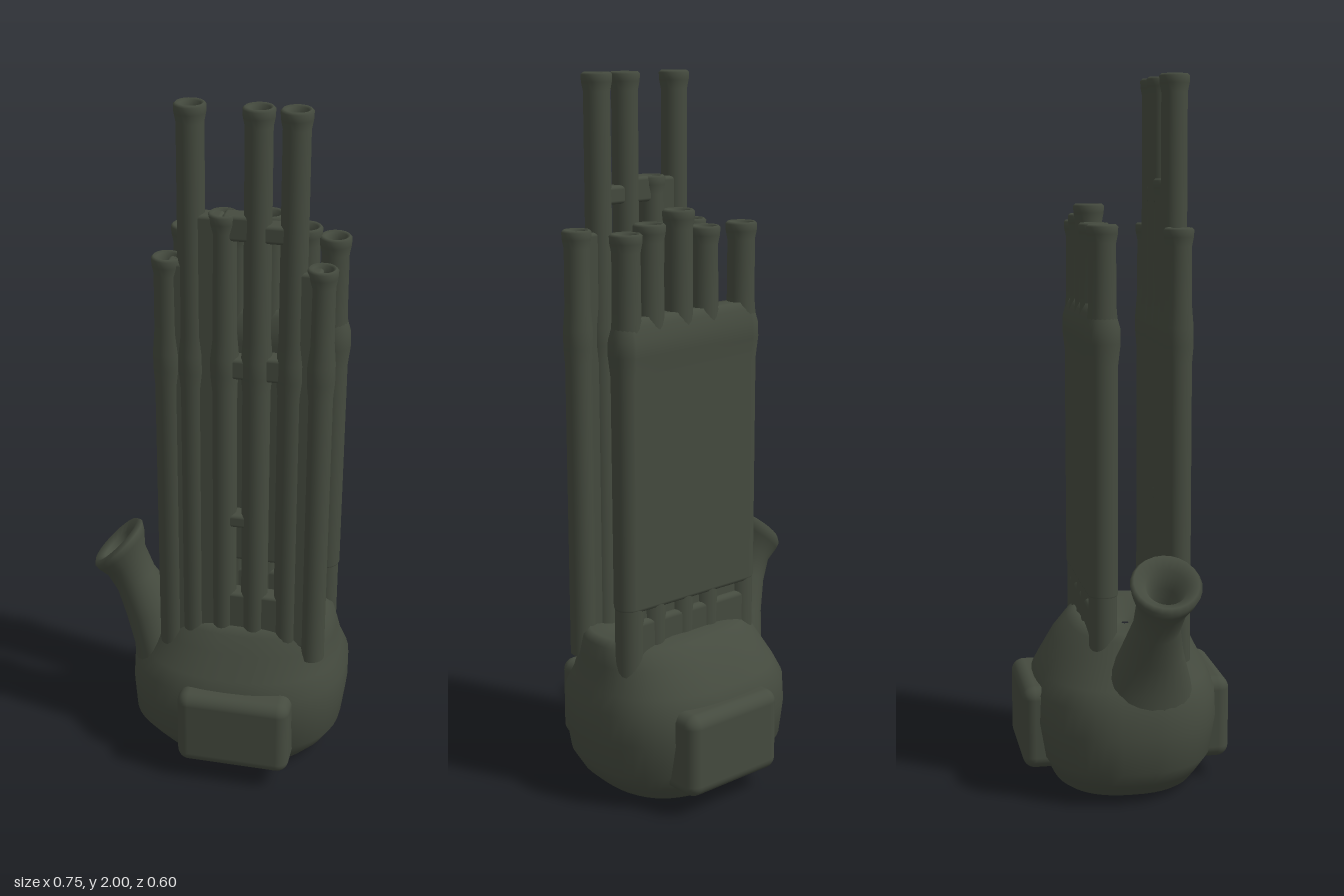
import * as THREE from 'three';
import { RoundedBoxGeometry } from 'three/addons/geometries/RoundedBoxGeometry.js';

// Closed skin over rings of points, rings listed from bottom to top
function loft(rings) {
  const n = rings[0].length, pos = rings.flat(2), index = [];
  for (let i = 0; i < rings.length - 1; i++) {
    for (let j = 0; j < n; j++) {
      const a = i * n + j, b = i * n + (j + 1) % n;
      index.push(a, a + n, b, b, a + n, b + n);
    }
  }
  const g = new THREE.BufferGeometry();
  g.setAttribute('position', new THREE.Float32BufferAttribute(pos, 3));
  g.setIndex(index);
  g.computeVertexNormals();
  return g;
}

const ring = (n, fn) => Array.from({ length: n }, (_, j) => fn(j / n * Math.PI * 2));
const rounded = (v, e) => Math.sign(v) * Math.abs(v) ** e;

export function createModel() {
  const group = new THREE.Group();
  const darkOlive = new THREE.MeshStandardMaterial({ color: 0x454b3f });
  darkOlive.name = 'darkOlive';

  const add = (name, geometry, x = 0, y = 0, z = 0) => {
    const mesh = new THREE.Mesh(geometry, darkOlive);
    mesh.name = name;
    mesh.position.set(x, y, z);
    group.add(mesh);
  };

  // Wind chamber: y, left x, right x, half depth, z shift
  const chamber = [
    [0, 0.04, 0.06, 0.01, 0], [0, -0.16, 0.27, 0.185, 0], [0.012, -0.18, 0.29, 0.2, 0],
    [0.05, -0.225, 0.33, 0.22, 0], [0.1, -0.265, 0.36, 0.25, 0], [0.2, -0.27, 0.373, 0.268, 0],
    [0.28, -0.265, 0.373, 0.265, 0], [0.33, -0.24, 0.352, 0.24, 0], [0.4, -0.2, 0.338, 0.2, 0.005],
    [0.45, -0.18, 0.33, 0.165, 0.015], [0.47, -0.16, 0.31, 0.14, 0.02],
    [0.455, -0.08, 0.24, 0.08, 0.02], [0.435, 0.07, 0.09, 0.01, 0.02],
  ];
  add('windChamber', loft(chamber.map(([y, x0, x1, hz, z]) => ring(48, t => [
    (x0 + x1) / 2 + (x1 - x0) / 2 * rounded(Math.cos(t), 0.82), y, z + hz * rounded(Math.sin(t), 0.82),
  ]))));

  // Raised panels on the front and back of the chamber
  add('chamberPanels', new RoundedBoxGeometry(0.33, 0.24, 0.6, 4, 0.035), 0.083, 0.18, 0);

  // Flared mouthpiece: centre x, y, z, half-width vector x, y, half depth
  const mouth = [
    [-0.16, 0.22, 0.03, 0.1, 0.0, 0.15], [-0.18, 0.33, 0.035, 0.085, 0.01, 0.125],
    [-0.215, 0.43, 0.04, 0.075, 0.025, 0.09], [-0.26, 0.52, 0.045, 0.055, 0.035, 0.065],
    [-0.285, 0.585, 0.055, 0.055, 0.045, 0.07], [-0.298, 0.625, 0.06, 0.067, 0.058, 0.092],
    [-0.305, 0.645, 0.062, 0.068, 0.064, 0.099], [-0.311, 0.656, 0.062, 0.06, 0.058, 0.09],
    [-0.306, 0.64, 0.062, 0.04, 0.038, 0.058], [-0.292, 0.6, 0.058, 0.028, 0.025, 0.038],
    [-0.265, 0.55, 0.05, 0.018, 0.014, 0.025], [-0.262, 0.545, 0.05, 0.001, 0.001, 0.001],
  ];
  add('mouthpiece', loft(mouth.map(([x, y, z, ux, uy, hz]) => ring(24, t => [
    x + ux * Math.cos(t), y + uy * Math.cos(t), z + hz * Math.sin(t),
  ]))));

  // Hollow pipe with a slight node and a flared lip
  const pipe = (name, x, z, top, r) => {
    const points = [
      [r, 0.38], [r, 1.22], [r + 0.004, 1.27], [r + 0.004, 1.32], [r - 0.001, 1.38],
      [r - 0.002, top - 0.05], [r + 0.003, top - 0.025], [r + 0.004, top - 0.006],
      [r - 0.002, top], [r - 0.01, top - 0.004], [0.021, top - 0.025], [0.019, top - 0.08], [0, top - 0.08],
    ].map(p => new THREE.Vector2(...p));
    add(name, new THREE.LatheGeometry(points, 20), x, 0, z);
  };
  const frontPipes = [[-0.125, 1.59, 0.038], [-0.06, 2, 0.038], [0.025, 1.72, 0.037],
    [0.115, 2, 0.038], [0.21, 2, 0.038], [0.285, 1.59, 0.037]];
  frontPipes.forEach(([x, top, r]) => pipe('frontPipe', x, 0.13, top, r));
  const backPipes = [[-0.122, 1.6], [0.014, 1.6], [0.105, 1.65], [0.206, 1.62], [0.285, 1.6]];
  backPipes.forEach(([x, top]) => pipe('backPipe', x, -0.08, top, 0.04));

  // Webs filling the spaces between front pipes: x0, x1, y0, y1
  const webs = [
    [-0.125, -0.06, 0.42, 1.58], [-0.06, 0.025, 0.42, 1.715], [0.21, 0.285, 0.42, 1.58],
    [0.025, 0.115, 0.42, 0.58], [0.025, 0.115, 0.8, 0.84], [0.025, 0.115, 1.26, 1.32], [0.025, 0.115, 1.65, 1.72],
    [0.115, 0.21, 0.42, 0.58], [0.115, 0.21, 1.26, 1.33], [0.115, 0.21, 1.65, 1.7],
  ];
  webs.forEach(([x0, x1, y0, y1]) => add('frontWeb',
    new RoundedBoxGeometry(x1 - x0, y1 - y0, 0.054, 3, 0.01), (x0 + x1) / 2, (y0 + y1) / 2, 0.13));

  // Solid slab joining the back pipes, with a slightly swollen upper band
  const slab = [[0.57, 0.037], [0.58, 0.042], [1.22, 0.043], [1.28, 0.05], [1.32, 0.049], [1.36, 0.038], [1.38, 0.028]];
  const slabRings = slab.map(([y, r]) => ring(40, t => [
    0.082 + Math.sign(Math.cos(t)) * 0.204 + r * Math.cos(t), y, -0.08 + r * Math.sin(t),
  ]));
  const tip = y => ring(40, () => [0.082, y, -0.08]);
  add('backSlab', loft([tip(0.57), ...slabRings, tip(1.38)]));

  // Low webs under the small openings at the foot of the slab
  add('slabFoot', new RoundedBoxGeometry(0.41, 0.16, 0.07, 3, 0.015), 0.082, 0.46, -0.08);
  for (let i = 0; i < backPipes.length - 1; i++) {
    const x = (backPipes[i][0] + backPipes[i + 1][0]) / 2;
    add('slabRib', new THREE.BoxGeometry(backPipes[i + 1][0] - backPipes[i][0], 0.1, 0.04), x, 0.56, -0.08);
  }
  return group;
}
